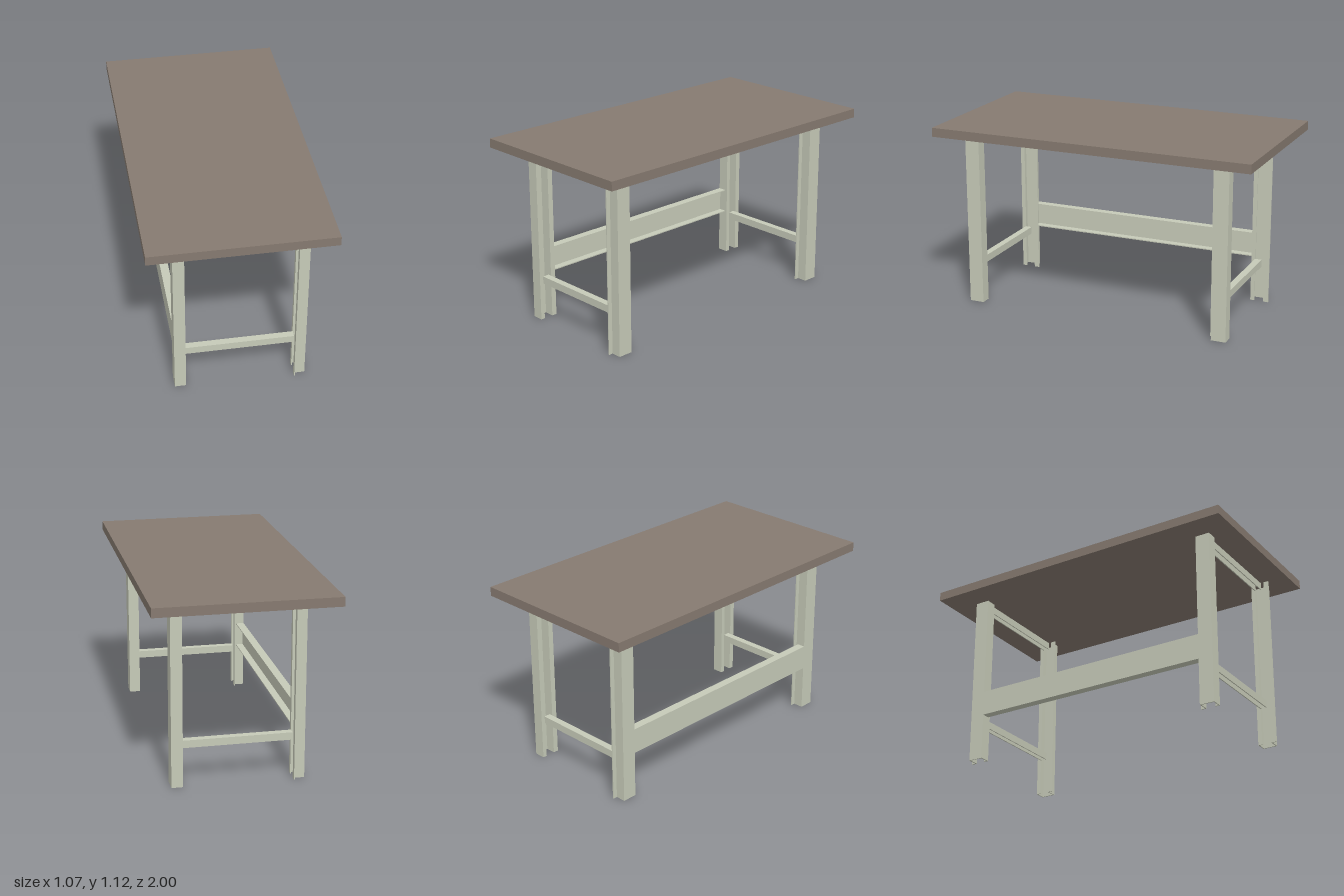
import * as THREE from 'three';

const TOP_Y = 1.065; // underside of the table top
const T = 0.006; // sheet thickness

function extrude(points, length) {
  const shape = new THREE.Shape(points.map(([x, y]) => new THREE.Vector2(x, y)));
  return new THREE.ExtrudeGeometry(shape, { depth: length, bevelEnabled: false });
}

// Upright post: channel with both lips bent the same way, open towards -x
function legGeometry() {
  const h = 0.045, d = 0.067, b = 0.026;
  const profile = [
    [0, -h], [0, h], [-d + T, h], [-d + T, h + b], [-d, h + b], [-d, h - T],
    [-T, h - T], [-T, -h + T], [-d + T, -h + T], [-d + T, -h + b], [-d, -h + b], [-d, -h],
  ].map(([x, w]) => [x, -w]);
  return extrude(profile, TOP_Y).rotateX(-Math.PI / 2);
}

// Cross brace: channel open downwards, running along x
function braceGeometry(length) {
  const w = 0.021, h = 0.045;
  const profile = [[-w, 0], [-w, h], [w, h], [w, 0], [w - T, 0], [w - T, h - T], [-w + T, h - T], [-w + T, 0]];
  return extrude(profile, length).rotateY(Math.PI / 2);
}

// Long stretcher: channel open towards +x, running along z
function stretcherGeometry(length) {
  const h = 0.153, d = 0.05;
  return extrude([[0, 0], [d, 0], [d, T], [T, T], [T, h - T], [d, h - T], [d, h], [0, h]], length);
}

export function createModel() {
  const group = new THREE.Group();
  const wood = new THREE.MeshStandardMaterial({ color: 0x867a70 });
  wood.name = 'brown top';
  const metal = new THREE.MeshStandardMaterial({ color: 0xc6cab8 });
  metal.name = 'pale green metal';

  const add = (name, geometry, material, x, y, z) => {
    const mesh = new THREE.Mesh(geometry, material);
    mesh.name = name;
    mesh.position.set(x, y, z);
    group.add(mesh);
    return mesh;
  };

  add('tableTop', new THREE.BoxGeometry(1.066, 0.055, 2), wood, 0, TOP_Y + 0.0275, 0);

  // Two end frames: a pair of legs joined by a top and a bottom brace
  const leg = legGeometry();
  const brace = braceGeometry(0.642);
  for (const [end, z] of [['front', 0.805], ['back', -0.786]]) {
    add(end + 'LeftLeg', leg, metal, 0.404, 0, z);
    add(end + 'RightLeg', leg, metal, -0.371, 0, z).rotation.y = Math.PI;
    add(end + 'TopBrace', brace, metal, -0.304, 1.02, z);
    add(end + 'BottomBrace', brace, metal, -0.304, 0.228, z);
  }

  // Stretcher between the two right legs
  add('stretcher', stretcherGeometry(1.501), metal, -0.371, 0.281, -0.741);
  return group;
}
